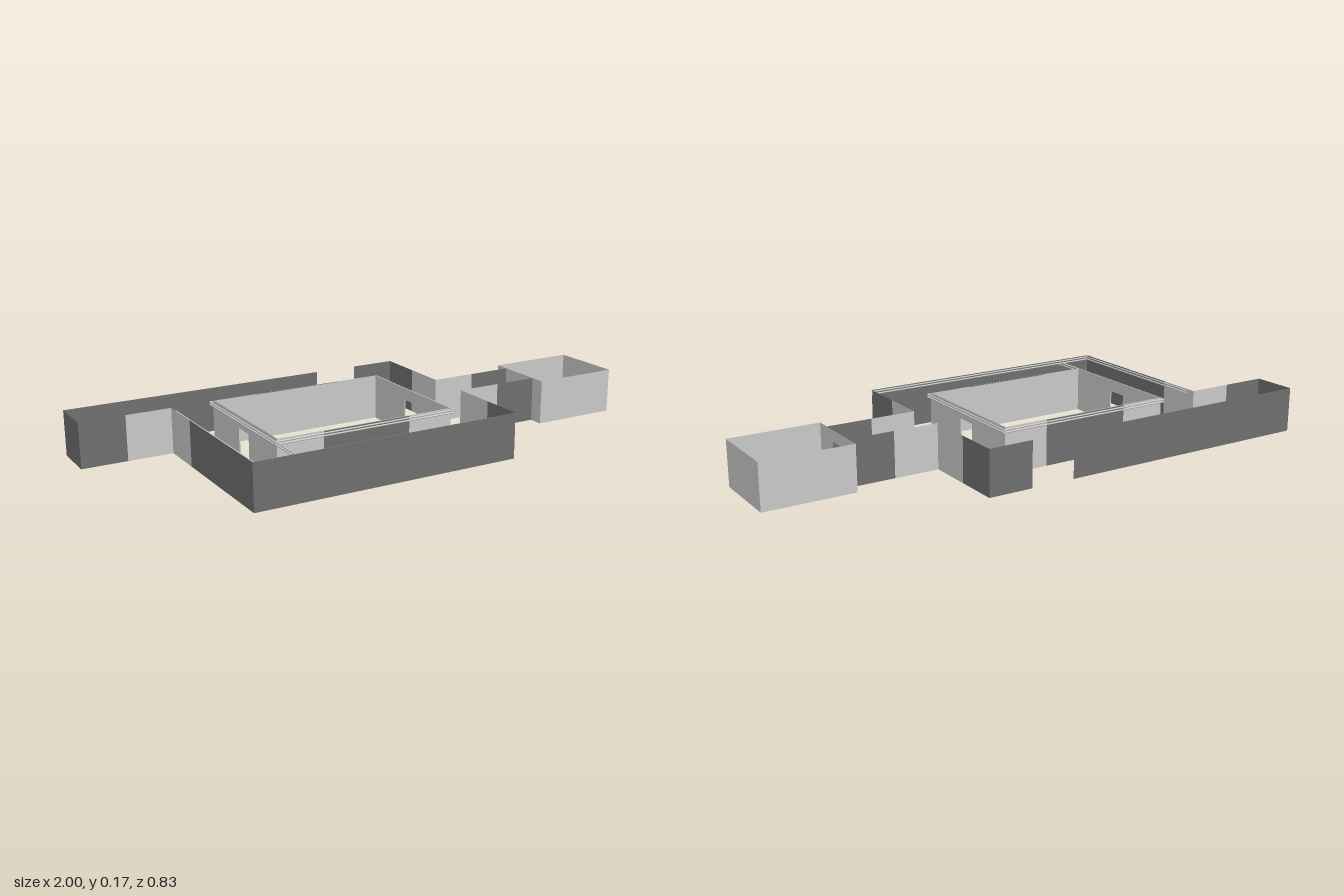
import * as THREE from 'three';

const H = 0.167; // wall height
const U = 1 / 6; // floor plan module
const light = new THREE.MeshStandardMaterial({ color: 0xcccccc, side: THREE.DoubleSide });
const dark = new THREE.MeshStandardMaterial({ color: 0x707070, side: THREE.DoubleSide });

export function createModel() {
  const model = new THREE.Group();

  // Thin upright panel between two plan points, with an optional doorway in its middle
  function wall(name, x1, z1, x2, z2, material = light, doorWidth = 0) {
    const length = Math.hypot(x2 - x1, z2 - z1);
    const s = new THREE.Shape();
    s.moveTo(0, 0);
    if (doorWidth) {
      const a = (length - doorWidth) / 2;
      s.lineTo(a, 0);
      s.lineTo(a, 0.125);
      s.lineTo(a + doorWidth, 0.125);
      s.lineTo(a + doorWidth, 0);
    }
    s.lineTo(length, 0);
    s.lineTo(length, H);
    s.lineTo(0, H);
    const mesh = new THREE.Mesh(new THREE.ShapeGeometry(s), material);
    mesh.position.set(x1, 0, z1);
    mesh.rotation.y = -Math.atan2(z2 - z1, x2 - x1);
    mesh.name = name;
    model.add(mesh);
  }

  // Pair of thin pipes, one above the other, along a plan path
  function pipes(name, points) {
    const group = new THREE.Group();
    group.name = name;
    for (const y of [0.153, 0.162]) {
      const path = new THREE.CurvePath();
      for (let i = 1; i < points.length; i++) {
        const [a, b] = [points[i - 1], points[i]].map(([x, z]) => new THREE.Vector3(x, y, z));
        path.add(new THREE.LineCurve3(a, b));
      }
      for (const line of path.curves) {
        group.add(new THREE.Mesh(new THREE.TubeGeometry(line, 1, 0.003, 8), light));
      }
    }
    model.add(group);
  }

  const back = -0.415, front = 0.413, left = 2 * U, right = -4 * U;

  // Outer passage walls
  wall('backWall', -1, back, 0, back, dark);
  wall('backWallCorner', U, back, left, back, dark);
  wall('passageEnd', -1, back, -1, -0.25, dark);
  wall('passageInnerWallDark', -1, -0.25, -5 * U, -0.25, dark);
  wall('passageInnerWallLight', -5 * U, -0.25, right, -0.25);
  wall('sideWallLight', right, -0.25, right, -U / 2);
  wall('sideWallDark', right, -U / 2, right, front, dark);
  wall('frontWall', right, front, left, front, dark);

  // Side with the branch corridor, mirrored front to back
  for (const s of [-1, 1]) {
    wall('cornerWall', left, s < 0 ? back : front, left, s * 0.25, dark);
    wall('corridorShoulder', left, s * 0.25, left, s * U / 2);
    wall('corridorWallLight', left, s * U / 2, 3 * U, s * U / 2);
    wall('corridorWallDark', 3 * U, s * U / 2, 4 * U, s * U / 2, dark);
  }

  // Small end room
  const d = 0.138;
  wall('endRoomDoorWall', 4 * U, -d, 4 * U, d, light, 0.08);
  wall('endRoomFarWall', 1, -d, 1, d);
  for (const s of [-1, 1]) wall('endRoomSideWall', 4 * U, s * d, 1, s * d);

  // Central room: light lining inside, dark middle panels outside
  const x0 = -3 * U - 0.006, x1 = U + 0.004, zr = 0.254, t = 0.005;
  for (const s of [-1, 1]) {
    wall('roomLining', x0 + t, s * (zr - t), x1 - t, s * (zr - t));
    wall('roomOuterPanel', x0, s * zr, -2 * U, s * zr);
    wall('roomOuterPanelDark', -2 * U, s * zr, 0, s * zr, dark);
    wall('roomOuterPanel', 0, s * zr, x1, s * zr);
  }
  for (const [x, inner] of [[x0, x0 + t], [x1, x1 - t]]) {
    wall('roomDoorWall', x, -zr, x, zr, light, 0.08);
    wall('roomDoorLining', inner, -zr + t, inner, zr - t, light, 0.08);
    // Door reveal between the two layers
    for (const z of [-0.04, 0.04]) {
      const jamb = new THREE.Mesh(new THREE.BoxGeometry(t, 0.125, 0.002), light);
      jamb.position.set((x + inner) / 2, 0.0625, z);
      jamb.name = 'doorJamb';
      model.add(jamb);
    }
  }

  // Pipes around the central room and along the outer walls
  const o = 0.008;
  pipes('roomPipes', [
    [x0 - o, -zr - o], [x1 + o, -zr - o], [x1 + o, zr + o], [x0 - o, zr + o], [x0 - o, -zr - o],
  ]);
  pipes('outerPipes', [[right + 0.006, -0.22], [right + 0.006, front - 0.006], [left + 0.002, front - 0.006]]);
  pipes('linkPipes', [[x0 - o, zr + o], [x0 - o, front - 0.006]]);

  return model;
}
